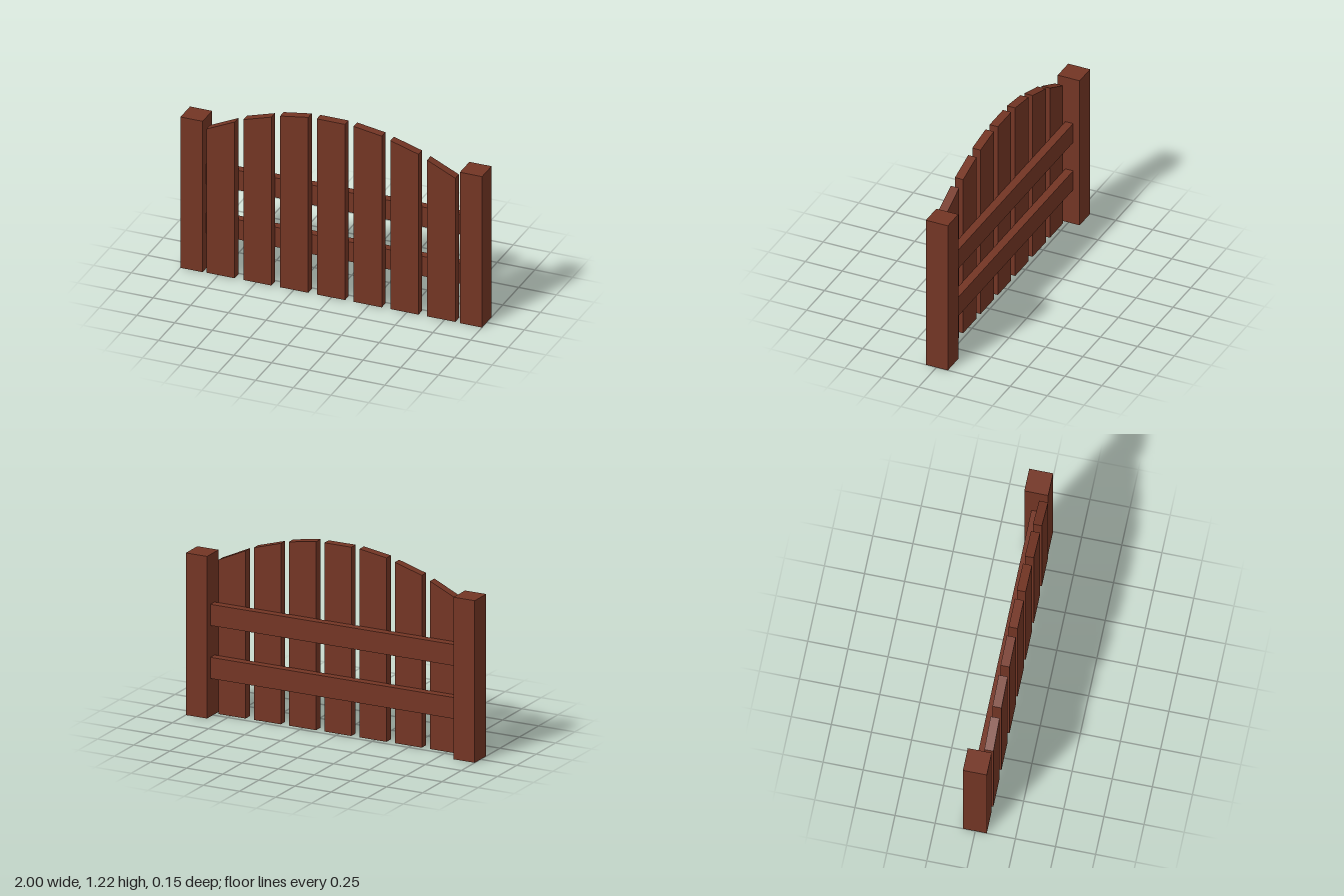
import * as THREE from 'three';

export function createModel() {
  const model = new THREE.Group();
  model.name = 'fence';
  const wood = new THREE.MeshStandardMaterial({ color: 0x733524 });
  wood.name = 'reddish brown wood';

  const add = (name, geometry, x, y, z) => {
    const mesh = new THREE.Mesh(geometry, wood);
    mesh.name = name;
    mesh.position.set(x, y, z);
    model.add(mesh);
  };

  // Square end posts
  for (const side of [-1, 1]) {
    add(side > 0 ? 'leftPost' : 'rightPost',
      new THREE.BoxGeometry(0.147, 1.04, 0.149), side * 0.9265, 0.52, -0.0025);
  }

  // Horizontal rails between the posts
  [['lowerRail', 0.312], ['upperRail', 0.652]].forEach(([name, y]) =>
    add(name, new THREE.BoxGeometry(1.706, 0.136, 0.053), 0, y, -0.0065));

  // Pickets with tops cut to an arch: [inner height, outer height] from the middle out
  const half = 0.0935, spacing = 0.2438, bottom = 0.005;
  const tops = [[1.216, 1.216], [1.214, 1.185], [1.166, 1.11], [1.082, 0.995]];
  for (let i = -3; i <= 3; i++) {
    const [inner, outer] = tops[Math.abs(i)];
    const shape = new THREE.Shape();
    shape.moveTo(-half, bottom);
    shape.lineTo(half, bottom);
    shape.lineTo(half, i < 0 ? inner : outer);
    shape.lineTo(-half, i < 0 ? outer : inner);
    shape.closePath();
    add('picket' + (i + 4),
      new THREE.ExtrudeGeometry(shape, { depth: 0.056, bevelEnabled: false }),
      i * spacing, 0, 0.021);
  }
  return model;
}
